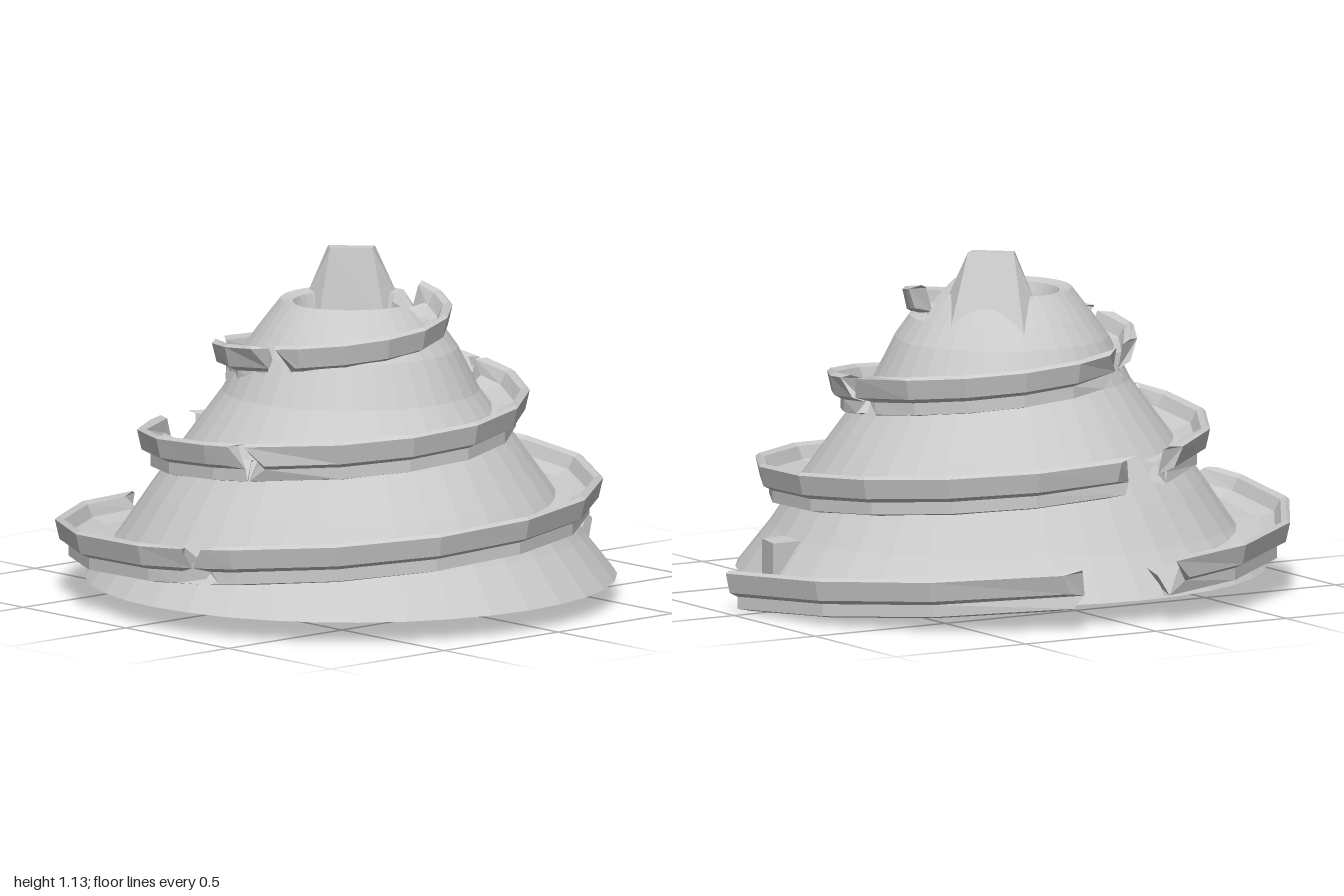
import * as THREE from 'three';
import { ConvexGeometry } from 'three/addons/geometries/ConvexGeometry.js';

const CX = -0.065, CZ = 0.06;
const material = new THREE.MeshStandardMaterial({ color: 0xcccccc, flatShading: true });

// Outer slope of the mountain as [radius, height]
const SLOPE = [[0.87, 0.07], [0.76, 0.21], [0.66, 0.36], [0.56, 0.5], [0.42, 0.69], [0.35, 0.83], [0.3, 0.9], [0.23, 0.99]];

// Road lip every quarter turn as [radius, height], starting on the +x side and climbing past the back
const LIP = [[1.06, 0.14], [1.0, 0.22], [0.937, 0.29], [0.87, 0.38], [0.78, 0.44], [0.75, 0.52], [0.65, 0.59],
  [0.62, 0.66], [0.55, 0.74], [0.49, 0.81], [0.42, 0.88], [0.365, 0.94], [0.3, 1.02]];

// Road section: offsets from the lip, counterclockwise; null reaches into the slope
const SECTION = [[null, -0.13], [-0.09, -0.14], [-0.045, -0.13], [-0.045, -0.09], [-0.015, -0.075], [0, -0.01],
  [-0.012, 0], [-0.03, -0.01], [-0.05, -0.05], [-0.1, -0.07], [null, -0.06]];

// Start and end of each road piece, in turns
const PIECES = [[0, 0.2], [0.265, 0.53], [0.545, 1.255], [1.305, 1.53], [1.55, 1.98], [2.0, 2.31], [2.36, 2.5], [2.54, 2.97]];

function slopeRadius(y) {
  if (y <= SLOPE[0][1]) return SLOPE[0][0];
  for (let i = 1; i < SLOPE.length; i++) {
    const [r0, y0] = SLOPE[i - 1], [r1, y1] = SLOPE[i];
    if (y <= y1) return THREE.MathUtils.lerp(r0, r1, (y - y0) / (y1 - y0));
  }
  return SLOPE[SLOPE.length - 1][0];
}

function lipAt(turn) {
  const q = THREE.MathUtils.clamp(turn * 4, 0, LIP.length - 1.001), i = Math.floor(q), f = q - i;
  return [0, 1].map((k) => THREE.MathUtils.lerp(LIP[i][k], LIP[i + 1][k], f));
}

const polar = (r, y, a) => new THREE.Vector3(CX + r * Math.cos(a), y, CZ + r * Math.sin(a));

function sectionPoint(turn, k) {
  const [R, Y] = lipAt(turn), [dr, dy] = SECTION[k];
  const r = dr === null ? Math.min(slopeRadius(Y + dy) - 0.04, R - 0.13) : R + dr;
  return polar(r, Y + dy, -turn * Math.PI * 2);
}

// Sweeps the section along one piece of the spiral, with broken ends
function roadGeometry(start, end, index) {
  const n = SECTION.length, stops = [start];
  for (let s = Math.floor(start * 16) + 1; s / 16 < end - 0.015; s++) if (s / 16 > start + 0.015) stops.push(s / 16);
  stops.push(end);
  const rows = stops.map((turn, j) => SECTION.map((_, k) => {
    const atEnd = (j === 0 && index > 0) || j === stops.length - 1;
    const jag = atEnd ? 0.012 * Math.sin(k * 1.7 + index * 2 + j) * Math.min(2, 0.6 / lipAt(turn)[0]) : 0;
    return sectionPoint(turn + jag, k);
  }));
  const pos = [];
  const tri = (a, b, c) => pos.push(...a.toArray(), ...b.toArray(), ...c.toArray());
  for (let j = 0; j < rows.length - 1; j++) {
    for (let k = 0; k < n; k++) {
      const m = (k + 1) % n, a = rows[j], b = rows[j + 1];
      tri(a[k], b[k], a[m]);
      tri(a[m], b[k], b[m]);
    }
  }
  const flat = SECTION.map(([r, y]) => new THREE.Vector2(r === null ? -0.25 : r, y));
  const first = rows[0], last = rows[rows.length - 1];
  for (const [a, b, c] of THREE.ShapeUtils.triangulateShape(flat, [])) {
    tri(first[a], first[b], first[c]);
    tri(last[a], last[c], last[b]);
  }
  const g = new THREE.BufferGeometry();
  g.setAttribute('position', new THREE.Float32BufferAttribute(pos, 3));
  g.computeVertexNormals();
  return g;
}

// Mountain with flat underside, crater and a dip in the rim towards the front left
function mountainGeometry() {
  const profile = [[0, 0.07], ...SLOPE, [0.19, 0.98], [0.155, 0.89], [0, 0.89]];
  const g = new THREE.LatheGeometry(profile.map(([r, y]) => new THREE.Vector2(r, y)), 36);
  const p = g.attributes.position;
  for (let i = 0; i < p.count; i++) {
    const a = THREE.MathUtils.radToDeg(Math.atan2(p.getZ(i), p.getX(i)));
    if (p.getY(i) > 0.95 && a > 2 && a < 78) {
      p.setY(i, 0.92);
      const s = 1.08;
      p.setX(i, p.getX(i) * s);
      p.setZ(i, p.getZ(i) * s);
    }
  }
  g.translate(CX, 0, CZ);
  g.computeVertexNormals();
  return g;
}

export function createModel() {
  const model = new THREE.Group();
  model.name = 'spiralMountain';
  const add = (geometry, name) => {
    const mesh = new THREE.Mesh(geometry, material);
    mesh.name = name;
    model.add(mesh);
  };

  add(mountainGeometry(), 'mountain');

  // Tapering spire on the crater rim: [radius, height, degrees]
  const spire = [[0.15, 1.13, -75], [0.15, 1.13, -20], [0.2, 1.13, -70], [0.2, 1.13, -25],
    [0.37, 0.76, -72], [0.36, 0.76, -25], [0.15, 0.87, -95], [0.15, 0.87, 2], [0.23, 0.96, -88], [0.23, 0.96, -5]];
  add(new ConvexGeometry(spire.map(([r, y, d]) => polar(r, y, THREE.MathUtils.degToRad(d)))), 'spire');

  // Small block at the foot of the road
  const block = [];
  for (const y of [0.08, 0.21]) block.push([0.66, y, 0.08], [0.66, y, 0.2], [0.8, y, 0.08], [0.775, y, 0.19]);
  add(new ConvexGeometry(block.map((v) => new THREE.Vector3(...v))), 'footBlock');

  PIECES.forEach(([s, e], i) => add(roadGeometry(s, e, i), `roadPiece${i + 1}`));
  return model;
}
